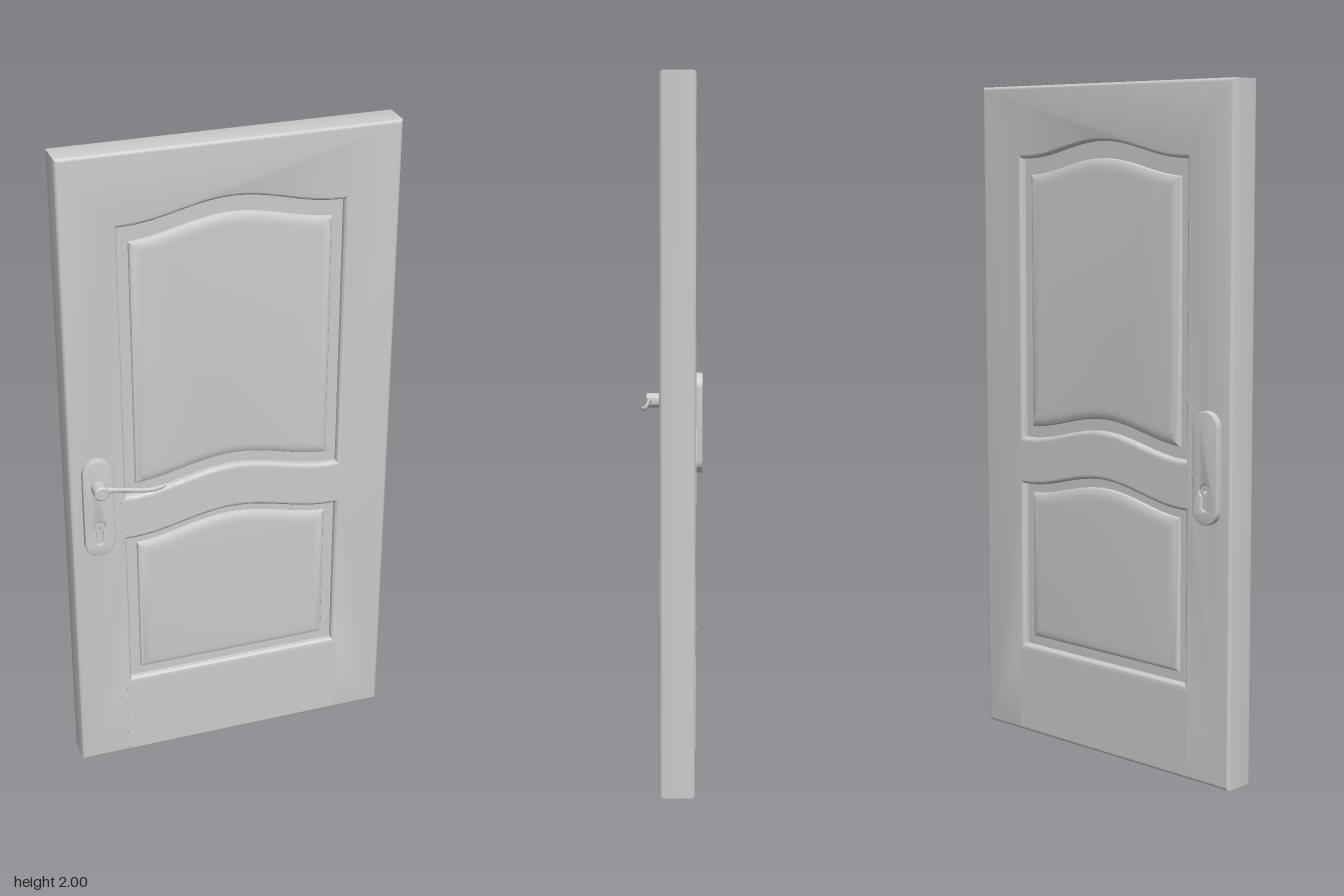
import * as THREE from 'three';
import { toCreasedNormals } from 'three/addons/utils/BufferGeometryUtils.js';
import { ParametricGeometry } from 'three/addons/geometries/ParametricGeometry.js';

const mat = new THREE.MeshStandardMaterial({ color: 0xcccccc });
const MID_Z = -0.03; // middle of the door leaf
const HALF = 0.05; // half its thickness

function add(parent, name, geometry, x = 0, y = 0, z = 0) {
  const mesh = new THREE.Mesh(geometry, mat);
  mesh.name = name;
  mesh.position.set(x, y, z);
  parent.add(mesh);
  return mesh;
}

// Extrusion centred on z, with a bevel cut inward from the outline
function slab(shape, thickness, bevelSize = 0, bevelThickness = bevelSize, bevelSegments = 3) {
  const bevelled = bevelSize > 0;
  const depth = thickness - (bevelled ? 2 * bevelThickness : 0);
  const geo = new THREE.ExtrudeGeometry(shape, {
    depth, bevelEnabled: bevelled, bevelSize, bevelThickness,
    bevelOffset: -bevelSize, bevelSegments, curveSegments: 20,
  });
  geo.translate(0, 0, -depth / 2);
  return toCreasedNormals(geo, 0.55);
}

// Gentle arch shared by the rails and panels
const arch = (x) => 0.05 * Math.cos((Math.PI * Math.min(Math.abs(x), 0.32)) / 0.64) ** 2;

// Outline with straight sides; top and bottom may follow the arch
function archedPoints(halfW, bottom, top, bottomArched) {
  const n = 28;
  const points = [];
  const xAt = (i) => -halfW + (2 * halfW * i) / n;
  if (bottomArched) {
    for (let i = 0; i <= n; i++) points.push(new THREE.Vector2(xAt(i), bottom + arch(xAt(i))));
  } else {
    points.push(new THREE.Vector2(-halfW, bottom), new THREE.Vector2(halfW, bottom));
  }
  for (let i = n; i >= 0; i--) points.push(new THREE.Vector2(xAt(i), top + arch(xAt(i))));
  return points;
}

function rectangle(x0, y0, x1, y1) {
  return new THREE.Shape([[x0, y0], [x1, y0], [x1, y1], [x0, y1]].map((p) => new THREE.Vector2(...p)));
}

// Upright stadium centred on the origin
function stadium(radius, halfHeight) {
  const s = new THREE.Shape();
  const c = halfHeight - radius;
  s.absarc(0, c, radius, 0, Math.PI);
  s.absarc(0, -c, radius, Math.PI, 2 * Math.PI);
  s.closePath();
  return s;
}

// Round head on a narrower stem, used for the lock and its key slot
function keyShape(Path, r, stem, length) {
  const a = Math.asin(stem / r);
  const p = new Path();
  p.absarc(0, 0, r, -Math.PI / 2 + a, 1.5 * Math.PI - a);
  p.lineTo(-stem, -length + stem);
  p.absarc(0, -length + stem, stem, Math.PI, 2 * Math.PI);
  p.closePath();
  return p;
}

function createLever() {
  const lever = new THREE.Group();
  lever.name = 'leverHandle';
  // Spindle neck
  const profile = [[0, 0], [0.023, 0], [0.023, 0.04], [0.019, 0.044], [0, 0.044]];
  const neck = new THREE.LatheGeometry(profile.map((p) => new THREE.Vector2(...p)), 28);
  neck.rotateX(Math.PI / 2);
  add(lever, 'leverNeck', toCreasedNormals(neck, 0.6), -0.42, 0.997, 0.038);
  // Waved grip with an oval section that thins toward the tip
  const path = new THREE.CatmullRomCurve3([
    [-0.425, 0.997, 0.066], [-0.395, 1.001, 0.071], [-0.36, 0.997, 0.073],
    [-0.31, 0.99, 0.079], [-0.27, 0.99, 0.087], [-0.228, 0.997, 0.087],
  ].map((p) => new THREE.Vector3(...p)));
  const grip = new ParametricGeometry((u, v, target) => {
    path.getPoint(u, target);
    const end = Math.sqrt(Math.max(0, Math.min(1, (1 - u) / 0.06, u / 0.02)));
    const root = Math.max(0, 1 - u / 0.4) ** 2;
    const a = v * 2 * Math.PI;
    target.y += Math.cos(a) * end * (0.007 + 0.011 * root);
    target.z -= Math.sin(a) * end * (0.0045 + 0.009 * root);
  }, 48, 16);
  add(lever, 'leverGrip', grip);
  return lever;
}

export function createModel() {
  const door = new THREE.Group();
  door.name = 'door';

  // Frame with two arched openings
  const openings = [
    { name: 'upper', bottom: 0.935, top: 1.785, field: [0.97, 1.735], arched: true },
    { name: 'lower', bottom: 0.28, top: 0.79, field: [0.31, 0.763], arched: false },
  ];
  const frame = rectangle(-0.5, 0, 0.5, 2);
  for (const o of openings) frame.holes.push(new THREE.Path(archedPoints(0.333, o.bottom, o.top, o.arched)));
  add(door, 'frame', slab(frame, 2 * HALF, 0.01), 0, 0, MID_Z);

  // Rails standing a hair proud, so their joints show
  const middleRail = new THREE.Shape(archedPoints(0.35, 0.803, 0.922, true));
  add(door, 'middleRail', slab(middleRail, 2 * HALF + 0.002), 0, 0, MID_Z);
  add(door, 'bottomRail', slab(rectangle(-0.35, 0.012, 0.35, 0.265), 2 * HALF + 0.002), 0, 0, MID_Z);

  // Recessed panels with raised, sloped fields on both faces
  for (const o of openings) {
    const ground = new THREE.Shape(archedPoints(0.338, o.bottom - 0.005, o.top + 0.005, o.arched));
    add(door, o.name + 'PanelGround', slab(ground, 0.06), 0, 0, MID_Z);
    const field = new THREE.Shape(archedPoints(0.3, o.field[0], o.field[1], o.arched));
    add(door, o.name + 'PanelField', slab(field, 0.092, 0.035, 0.012, 4), 0, 0, MID_Z);
  }

  // Lock plates on both faces, each with a lock cylinder
  for (const [side, z, turn] of [['front', 0.029, 0], ['back', -0.089, Math.PI]]) {
    const plate = new THREE.Group();
    plate.name = side + 'LockPlate';
    plate.position.set(-0.42, 0.925, z);
    plate.rotation.y = turn;
    const body = stadium(0.046, 0.162);
    body.holes.push(keyShape(THREE.Path, 0.018, 0.0105, 0.056).translate ? new THREE.Path() : keyShape(THREE.Path, 0.018, 0.0105, 0.056));
    const holePoints = keyShape(THREE.Path, 0.018, 0.0105, 0.056).getPoints(10);
    body.holes = [new THREE.Path(holePoints.slice(0, -1).map((p) => p.setY(p.y - 0.065)))];
    add(plate, side + 'Plate', slab(body, 0.022, 0.004));
    const lock = keyShape(THREE.Shape, 0.017, 0.0095, 0.054);
    lock.holes.push(keyShape(THREE.Path, 0.006, 0.002, 0.016));
    add(plate, side + 'LockCylinder', slab(lock, 0.014), 0, -0.065, 0);
    door.add(plate);
  }

  door.add(createLever());
  return door;
}
